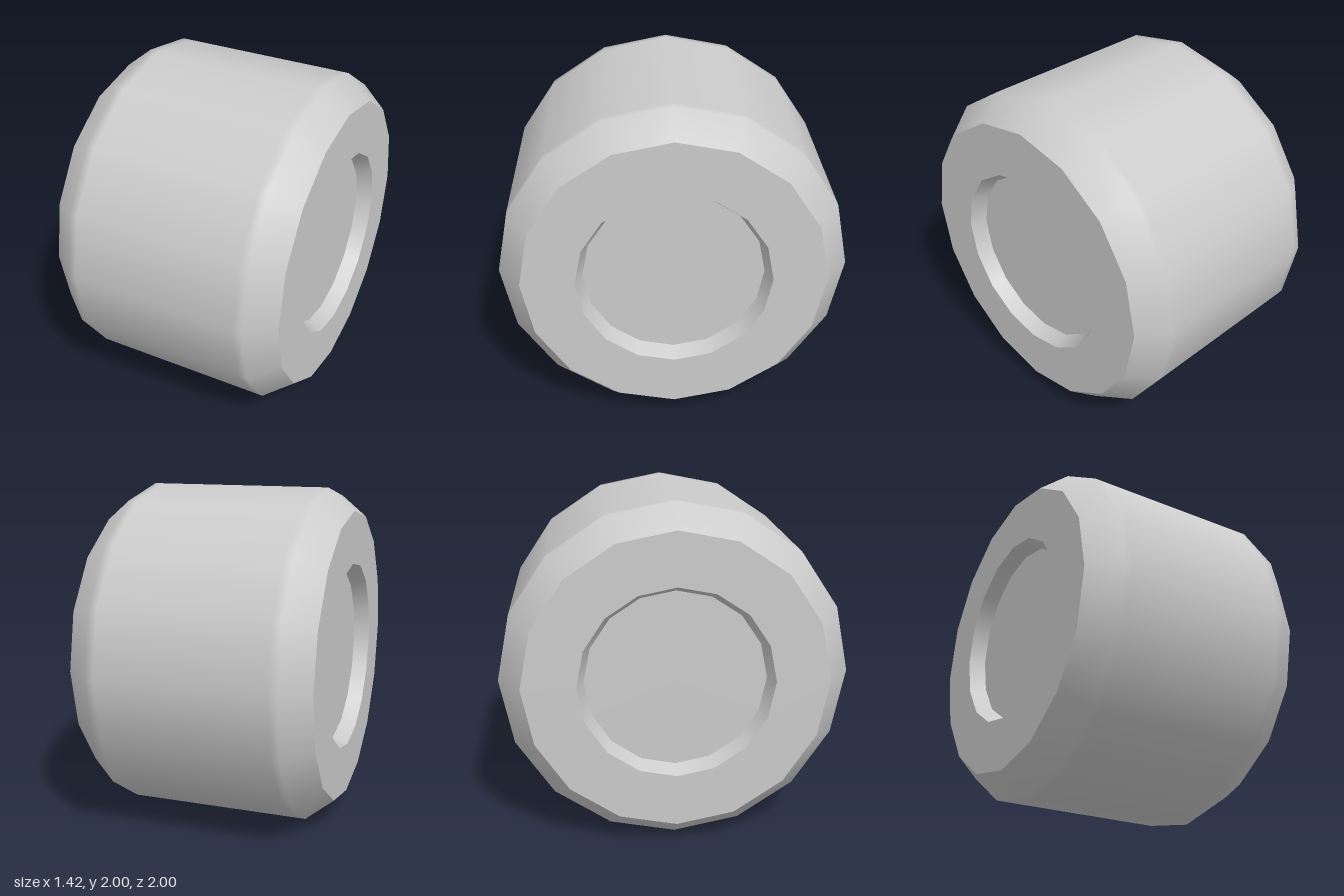
import * as THREE from 'three';

const SIDES = 16;
const HALF = 0.71;      // half width of the wheel
const SHOULDER = 0.55;  // where the bevel starts
const FLOOR = 0.62;     // depth position of the recessed hub

const material = new THREE.MeshStandardMaterial({ color: 0xcccccc });

// Revolves [radius, x] pairs about the x axis; each call is one smooth surface
function revolve(name, profile) {
  const points = profile.map(([r, x]) => new THREE.Vector2(r, x));
  const geometry = new THREE.LatheGeometry(points, SIDES);
  geometry.rotateZ(-Math.PI / 2);
  const mesh = new THREE.Mesh(geometry, material);
  mesh.name = name;
  return mesh;
}

// One end of the wheel: flat sidewall, sloping recess wall and hub disc
function makeEnd(name) {
  const end = new THREE.Group();
  end.name = name;
  end.add(
    revolve('sidewall', [[0.87, HALF], [0.56, HALF]]),
    revolve('recessWall', [[0.56, HALF], [0.52, FLOOR]]),
    revolve('hubDisc', [[0.52, FLOOR], [0, FLOOR]])
  );
  return end;
}

export function createModel() {
  const wheel = new THREE.Group();
  wheel.name = 'wheel';

  // Tread with bevelled shoulders, held straight by a loop near each edge
  wheel.add(revolve('tread', [
    [0.87, -HALF], [1, -SHOULDER], [1, -0.5],
    [1, 0.5], [1, SHOULDER], [0.87, HALF]
  ]));

  const leftEnd = makeEnd('leftEnd');
  const rightEnd = makeEnd('rightEnd');
  rightEnd.rotation.y = Math.PI;
  wheel.add(leftEnd, rightEnd);

  wheel.position.y = 1;
  const model = new THREE.Group();
  model.add(wheel);
  return model;
}
